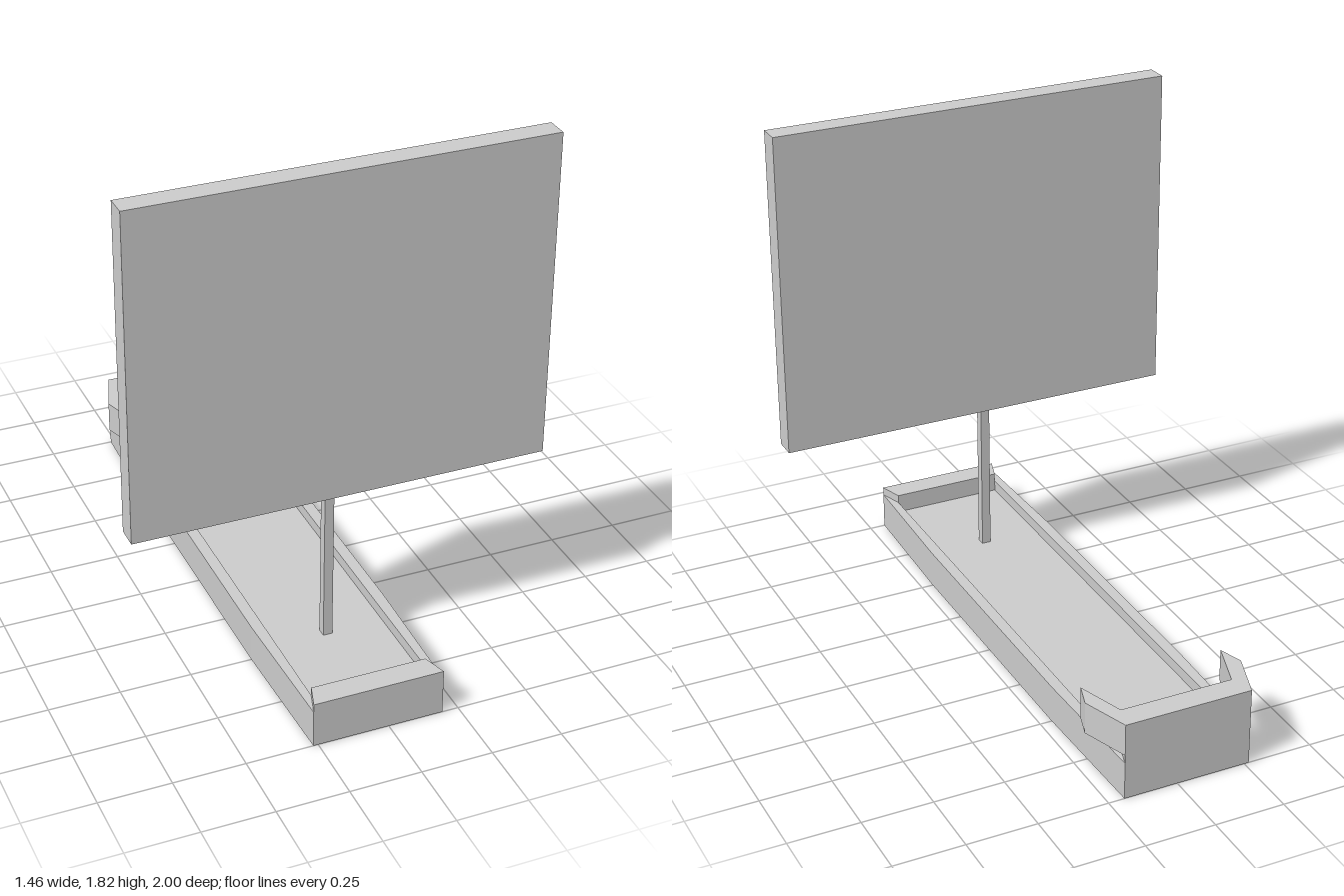
import * as THREE from 'three';

const CX = -0.037; // centre line of the hull
const grey = new THREE.MeshStandardMaterial({ color: 0xcccccc, flatShading: true });

function add(group, name, geometry, x = 0, y = 0, z = 0) {
  const mesh = new THREE.Mesh(geometry, grey);
  mesh.name = name;
  mesh.position.set(x, y, z);
  group.add(mesh);
  return mesh;
}

// Extrudes a plan outline of [x, z] points upward from y0 to y1.
function slab(points, y0, y1, hole) {
  const toVectors = (list) => list.map(([x, z]) => new THREE.Vector2(x, -z));
  const shape = new THREE.Shape(toVectors(points));
  if (hole) shape.holes.push(new THREE.Path(toVectors(hole)));
  const geometry = new THREE.ExtrudeGeometry(shape, { depth: y1 - y0, bevelEnabled: false });
  geometry.rotateX(-Math.PI / 2);
  geometry.translate(0, y0, 0);
  return geometry;
}

// Completes a half outline (x > 0) with its mirror image.
const mirrorX = (half) => [...half, ...half.map(([x, z]) => [-x, z]).reverse()];

export function createModel() {
  const model = new THREE.Group();
  model.name = 'raft';

  const hull = new THREE.Group();
  hull.name = 'hull';
  hull.position.x = CX;
  model.add(hull);

  // Slightly bowed hull: solid bottom, then a low wall around the deck
  const outline = mirrorX([[0.23, 1], [0.244, 0.5], [0.244, -0.5], [0.23, -1]]);
  const well = mirrorX([[0.203, 0.915], [0.203, -0.915]]);
  add(hull, 'hullBottom', slab(outline, 0, 0.095));
  add(hull, 'sideWalls', slab(outline, 0.095, 0.135, well));

  // Mitred raised rims at both ends
  for (const [name, s] of [['frontRim', 1], ['rearRim', -1]]) {
    add(hull, name, slab(mirrorX([[0.23, s], [0.203, 0.915 * s]]), 0.135, 0.165));
  }

  // Rear guard with flared wings
  const guard = mirrorX([[0.23, -1], [0.288, -0.83], [0.26, -0.743], [0.203, -0.915]]);
  add(hull, 'rearGuard', slab(guard, 0.165, 0.28));

  // Mast and flat square sail
  add(model, 'mast', new THREE.BoxGeometry(0.033, 0.56, 0.033), CX, 0.375, 0.568);
  add(model, 'sail', new THREE.BoxGeometry(1.46, 1.17, 0.08), 0, 1.24, 0.57);

  return model;
}
